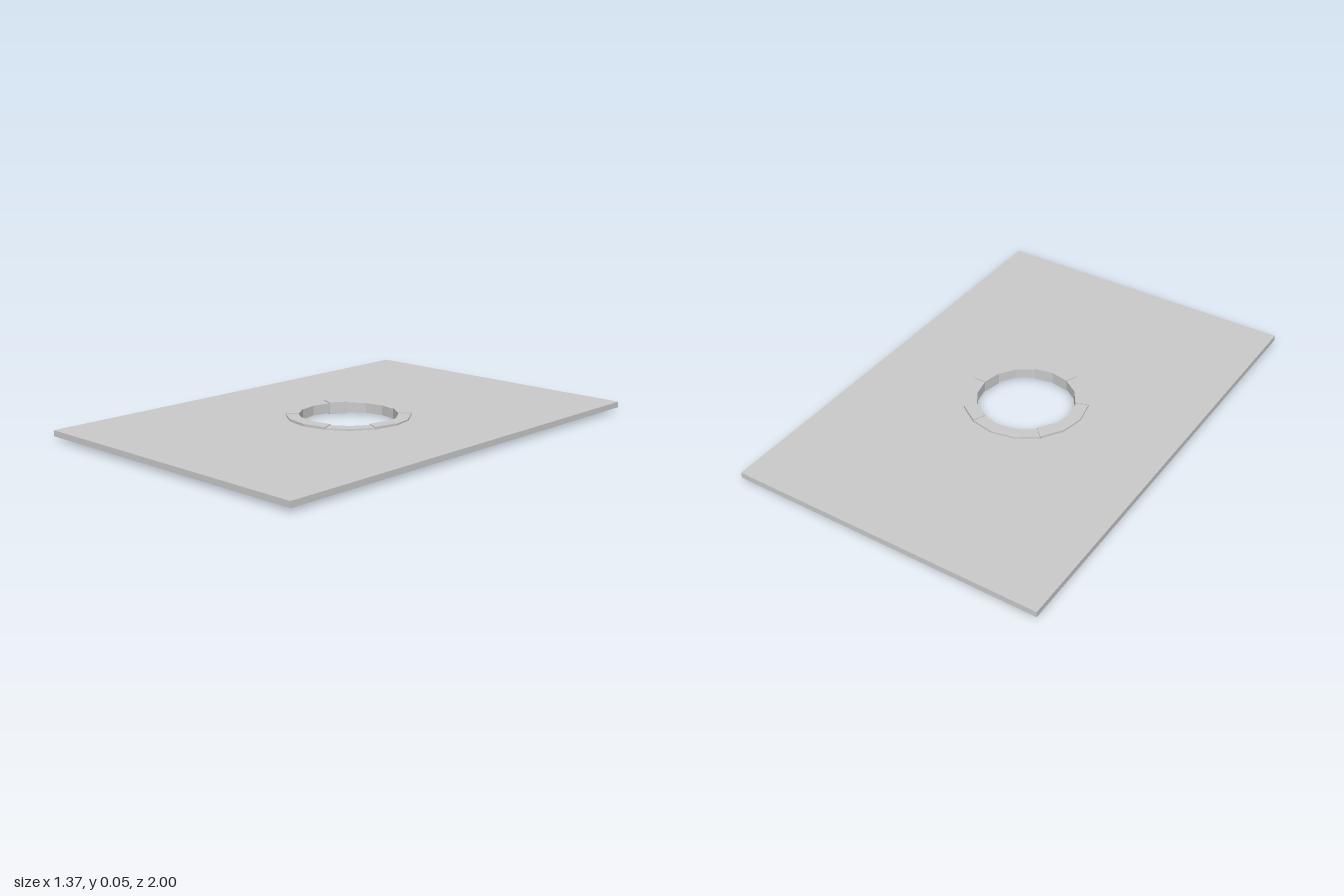
import * as THREE from 'three';

const STEP = Math.PI / 8; // the ring is sixteen-sided
const at = (r, k) => new THREE.Vector2(r * Math.cos(k * STEP), r * Math.sin(k * STEP));

// Lay a flat outline (x, z) down between two heights
function extrudeFlat(shape, bottom, top) {
  const geometry = new THREE.ExtrudeGeometry(shape, { depth: top - bottom, bevelEnabled: false });
  geometry.rotateX(Math.PI / 2);
  geometry.translate(0, top, 0);
  return geometry;
}

// Outline of a ring block running from corner a to corner b
function blockShape(a, b, inner, outer) {
  const points = [];
  for (let k = a; k <= b; k++) points.push(at(outer, k));
  for (let k = b; k >= a; k--) points.push(at(inner, k));
  return new THREE.Shape(points);
}

export function createModel() {
  const group = new THREE.Group();
  const material = new THREE.MeshStandardMaterial({ color: 0xcccccc, flatShading: true });
  const add = (name, geometry) => {
    const mesh = new THREE.Mesh(geometry, material);
    mesh.name = name;
    group.add(mesh);
  };

  // Rectangular slab with a round opening, its rim hidden inside the ring
  const w = 0.685, d = 1;
  const slab = new THREE.Shape([[-w, -d], [w, -d], [w, d], [-w, d]].map(p => new THREE.Vector2(...p)));
  const hole = [];
  for (let k = 0; k < 16; k++) hole.push(at(0.235, k));
  slab.holes.push(new THREE.Path(hole));
  add('slab', extrudeFlat(slab, 0.016, 0.041));

  // Long, lower ring blocks
  [[1, 3], [5, 6], [7, 9], [10, 13], [14, 16]].forEach(([a, b]) =>
    add('lowRingBlock', extrudeFlat(blockShape(a, b, 0.21, 0.264), 0.005, 0.048)));

  // Short, slightly prouder blocks between them
  [[0, 1], [3, 5], [6, 7], [9, 10], [13, 14]].forEach(([a, b]) =>
    add('tallRingBlock', extrudeFlat(blockShape(a, b, 0.208, 0.265), 0, 0.052)));

  return group;
}
